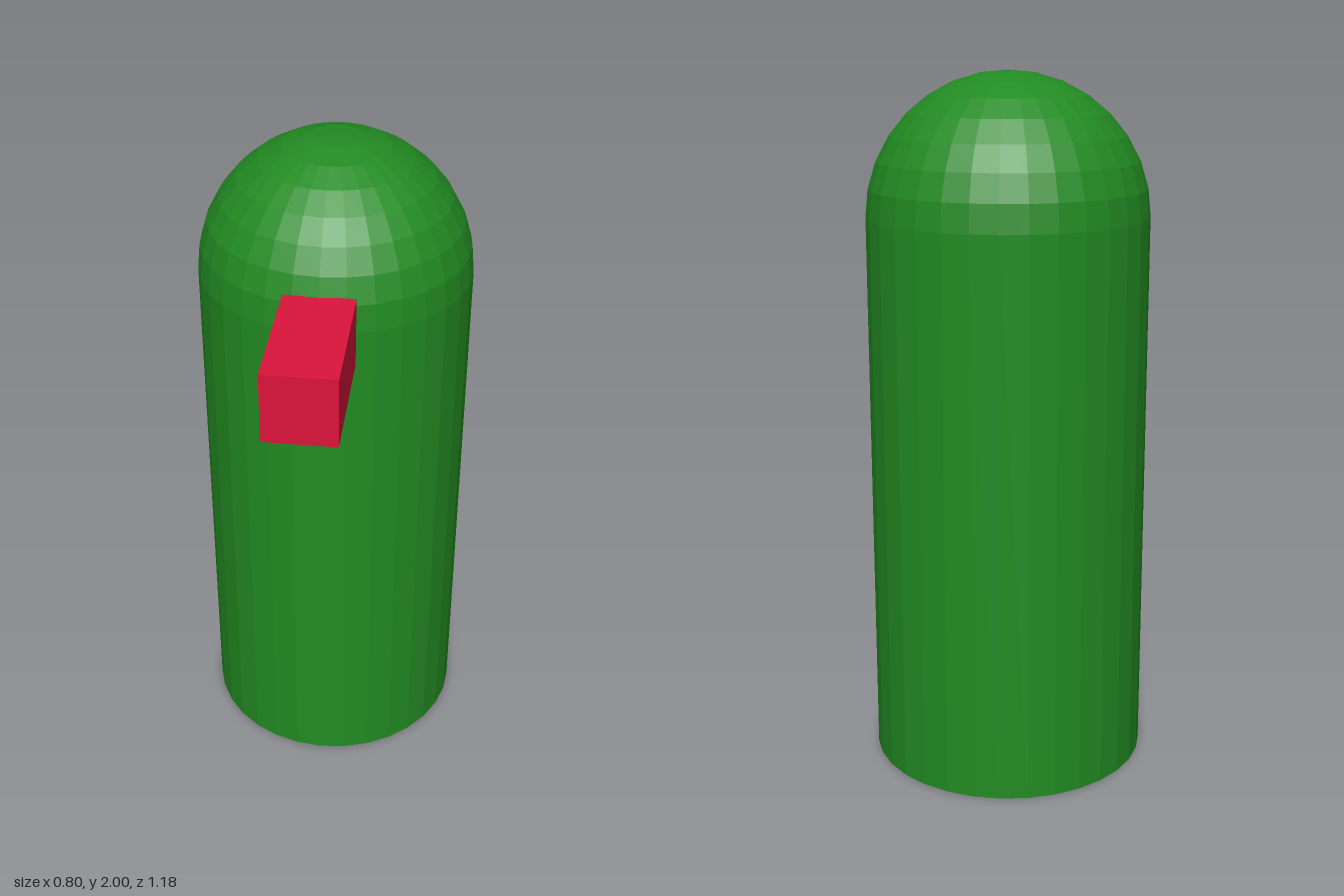
import * as THREE from 'three';

const RADIUS = 0.4, SHOULDER = 1.6, SIDES = 32, RINGS = 8;

export function createModel() {
  const model = new THREE.Group();
  model.name = 'domedPost';

  const green = new THREE.MeshStandardMaterial({ color: 0x228b22, flatShading: true });
  const red = new THREE.MeshStandardMaterial({ color: 0xdc143c, flatShading: true });

  // Body: closed base, straight wall and hemispherical top in one turned profile
  const profile = [new THREE.Vector2(0, 0), new THREE.Vector2(RADIUS, 0)];
  for (let i = 0; i <= RINGS; i++) {
    const a = (i / RINGS) * Math.PI / 2;
    const r = i === RINGS ? 0 : RADIUS * Math.cos(a);
    profile.push(new THREE.Vector2(r, SHOULDER + RADIUS * Math.sin(a)));
  }
  const body = new THREE.Mesh(new THREE.LatheGeometry(profile, SIDES), green);
  body.name = 'body';
  body.position.z = -0.19;

  // Square block standing out from the front, just below the dome
  const block = new THREE.Mesh(new THREE.BoxGeometry(0.2, 0.2, 0.4), red);
  block.name = 'frontBlock';
  block.position.set(0, 1.6, 0.39);

  model.add(body, block);
  return model;
}
